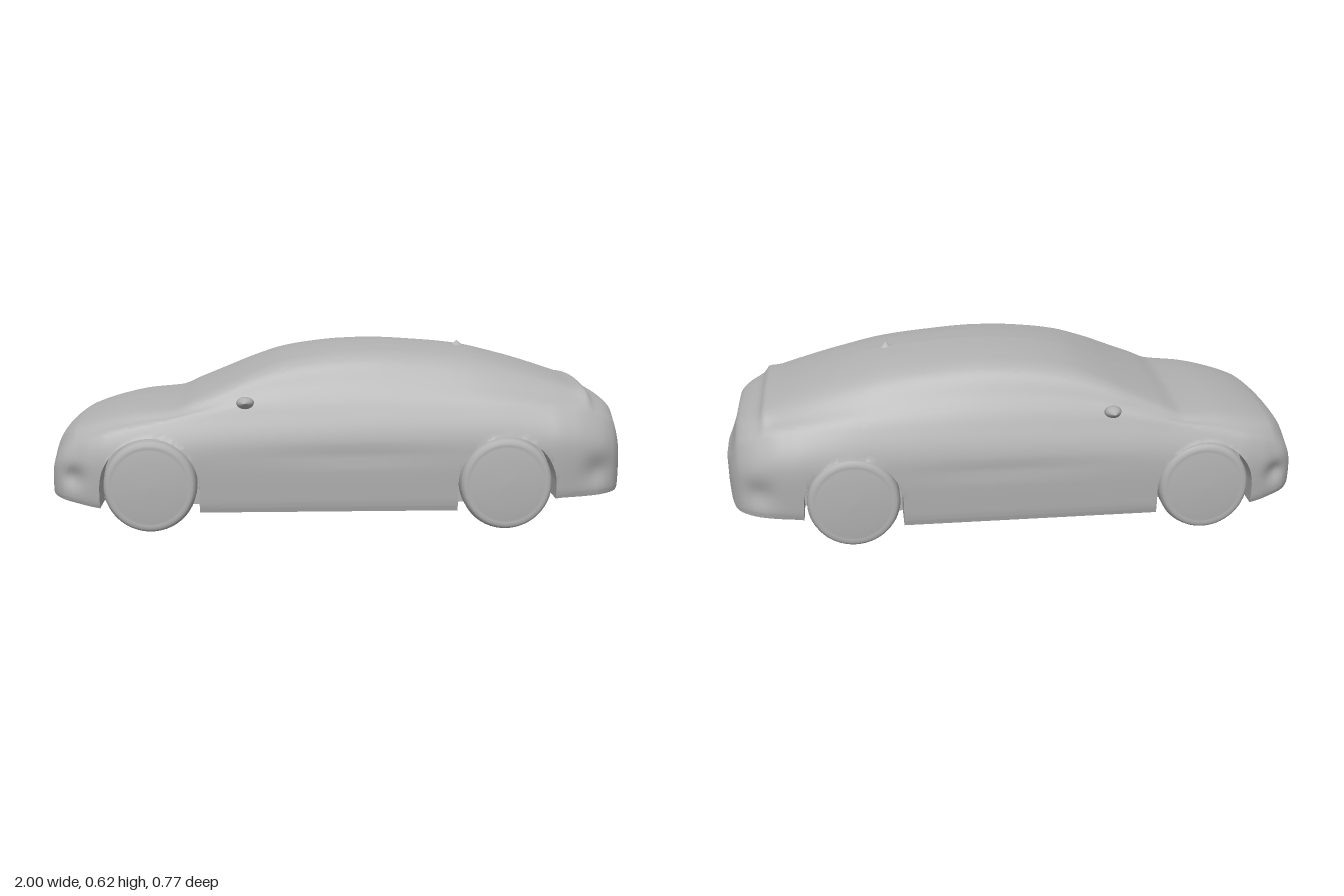
import * as THREE from 'three';
import { toCreasedNormals } from 'three/addons/utils/BufferGeometryUtils.js';

// Smooth curve through [x, value] pairs, without overshoot
function curve(p) {
  const n = p.length;
  const d = p.slice(1).map((q, i) => (q[1] - p[i][1]) / (q[0] - p[i][0]));
  const m = p.map((_, i) => {
    if (i === 0) return d[0];
    if (i === n - 1) return d[n - 2];
    return d[i - 1] * d[i] <= 0 ? 0 : 2 * d[i - 1] * d[i] / (d[i - 1] + d[i]);
  });
  return x => {
    let i = 0;
    while (i < n - 2 && x > p[i + 1][0]) i++;
    const h = p[i + 1][0] - p[i][0], t = THREE.MathUtils.clamp((x - p[i][0]) / h, 0, 1);
    const t2 = t * t, t3 = t2 * t;
    return (2 * t3 - 3 * t2 + 1) * p[i][1] + (t3 - 2 * t2 + t) * h * m[i]
      + (3 * t2 - 2 * t3) * p[i + 1][1] + (t3 - t2) * h * m[i + 1];
  };
}

// Body lines along the length; the nose is at -x
const top = curve([[-1, .22], [-.99, .27], [-.97, .31], [-.94, .34], [-.9, .365], [-.8, .4], [-.7, .42],
  [-.58, .43], [-.5, .462], [-.4, .503], [-.3, .545], [-.2, .58], [-.1, .6], [0, .612], [.12, .617],
  [.3, .608], [.43, .595], [.6, .555], [.75, .508], [.82, .484], [.855, .476], [.872, .452],
  [.93, .42], [.955, .398], [.965, .36], [.98, .31], [1, .265]]);
const halfWidth = curve([[-1, .2], [-.99, .25], [-.97, .295], [-.94, .33], [-.9, .352], [-.85, .372],
  [-.78, .383], [0, .384], [.72, .384], [.8, .375], [.88, .352], [.94, .31], [.97, .26], [.99, .18], [1, .1]]);
const bottom = curve([[-1, .115], [-.9, .1], [-.8, .085], [-.5, .07], [.4, .07], [.7, .1], [.75, .11],
  [.96, .115], [.98, .13], [1, .21]]);
const shoulderY = curve([[-1, .19], [-.97, .24], [-.9, .29], [-.8, .33], [-.6, .37], [-.4, .4], [0, .415],
  [.5, .42], [.8, .4], [.9, .37], [.95, .34], [.98, .28], [1, .25]]);
const shoulderRatio = curve([[-1, .95], [-.8, .94], [-.5, .91], [0, .91], [.5, .9], [.8, .88], [1, .9]]);
const roofEdgeZ = curve([[-1, .12], [-.9, .25], [-.7, .28], [-.55, .29], [-.4, .285], [-.2, .262], [0, .25],
  [.4, .235], [.8, .225], [.86, .235], [.93, .2], [.98, .12], [1, .05]]);
const roofDrop = curve([[-1, .012], [-.8, .02], [-.6, .018], [-.4, .02], [0, .032], [.4, .035], [.8, .02],
  [.9, .015], [1, .006]]);

const AXLES = [-.65, .565], WHEEL_R = .158, ARCH_R = .168;

function wellHeight(x) {
  let y = bottom(x);
  for (const a of AXLES) {
    const dx = Math.abs(x - a);
    if (dx < ARCH_R) y = Math.max(y, WHEEL_R + Math.sqrt(ARCH_R ** 2 - dx * dx));
  }
  return y;
}

const bump = (x, y, cx, cy, sx, sy) => Math.exp(-(((x - cx) / sx) ** 2) - ((y - cy) / sy) ** 2);

// Half cross-section from floor centre to roof centre
function halfSection(x) {
  const b = bottom(x), w = halfWidth(x), t = top(x), s = shoulderY(x), yw = wellHeight(x);
  const zw = Math.min(.25, w * .8), zs = w * shoulderRatio(x), ze = roofEdgeZ(x), ye = t - roofDrop(x);
  const path = new THREE.SplineCurve([
    [w * .965, b], [w * .988, b + (s - b) * .15], [w, b + (s - b) * .66], [zs, s],
    [(zs + ze) / 2 + .008, s + (ye - s) * .5], [ze, ye], [ze * .55, t - (t - ye) * .25], [0, t]
  ].map(([z, y]) => new THREE.Vector2(z, y)));
  const side = path.getPoints(56).map(p => {
    // lamp recesses and door crease
    const dent = .022 * bump(x, p.y, -.91, .19, .04, .035) + .018 * bump(x, p.y, .88, .2, .05, .045)
      + .006 * bump(x, p.y, .05, .265, .3, .02);
    return [Math.max(0, p.x - (p.x > .15 ? dent : 0)), Math.max(p.y, yw)];
  });
  side[side.length - 1][0] = 0;
  return [[0, b], [zw, b], [zw, yw], ...side];
}

function bodyGeometry() {
  const xs = [];
  for (let i = 0; i <= 180; i++) xs.push(-Math.cos(Math.PI * i / 180));
  for (const a of AXLES) {
    xs.push(a - ARCH_R - .0005, a + ARCH_R + .0005);
    for (let i = 0; i <= 24; i++) xs.push(a - (ARCH_R - .0001) * Math.cos(Math.PI * i / 24));
  }
  xs.sort((p, q) => p - q);

  const pos = [], idx = [];
  let n = 0;
  for (const x of xs) {
    const half = halfSection(x);
    const ring = [...half, ...half.slice(1, -1).reverse().map(([z, y]) => [-z, y])];
    n = ring.length;
    for (const [z, y] of ring) pos.push(x, y, z);
  }
  for (let i = 0; i < xs.length - 1; i++) {
    for (let j = 0; j < n; j++) {
      const k = (j + 1) % n, a = i * n, b = a + n;
      idx.push(a + j, b + j, b + k, a + j, b + k, a + k);
    }
  }
  // nose and tail caps
  const c = pos.length / 3, last = (xs.length - 1) * n;
  pos.push(-1, .165, 0, 1, .24, 0);
  for (let j = 0; j < n; j++) {
    const k = (j + 1) % n;
    idx.push(c, j, k, c + 1, last + k, last + j);
  }
  const g = new THREE.BufferGeometry();
  g.setAttribute('position', new THREE.Float32BufferAttribute(pos, 3));
  g.setIndex(idx);
  return toCreasedNormals(g, .7);
}

export function createModel() {
  const car = new THREE.Group();
  car.name = 'car';
  const grey = new THREE.MeshStandardMaterial({ color: 0xb2b2b2 });
  grey.name = 'plain grey';
  const add = (name, geometry, x, y, z) => {
    const mesh = new THREE.Mesh(geometry, grey);
    mesh.name = name;
    mesh.position.set(x, y, z);
    car.add(mesh);
    return mesh;
  };

  add('body', bodyGeometry(), 0, 0, 0);

  // Wheels: closed turned profile, axis y turned to point outward
  const wheelProfile = [[0, -.048], [.1, -.048], [.135, -.05], [.152, -.042], [WHEEL_R, -.025], [WHEEL_R, .022],
    [.153, .038], [.144, .045], [.134, .043], [.126, .044], [.08, .049], [0, .051]]
    .map(([r, y]) => new THREE.Vector2(r, y));
  const wheelGeometry = new THREE.LatheGeometry(wheelProfile, 56);
  // Mirrors: rounded base tapering to an outward point
  const mirrorGeometry = new THREE.LatheGeometry([[0, -.04], [.014, -.035], [.024, -.012], [.02, .006],
    [.011, .022], [0, .042]].map(([r, y]) => new THREE.Vector2(r, y)), 24);
  for (const side of [1, -1]) {
    const label = side > 0 ? 'Left' : 'Right';
    AXLES.forEach((x, i) => {
      const wheel = add((i ? 'rear' : 'front') + label + 'Wheel', wheelGeometry, x, WHEEL_R, side * .328);
      wheel.rotation.x = side * Math.PI / 2;
    });
    const mirror = add('mirror' + label, mirrorGeometry, -.325, .441, side * .345);
    mirror.rotation.set(side * (Math.PI / 2 - .12), 0, 0);
    mirror.scale.set(1.25, 1, .9);
  }

  // Small roof aerial
  const aerial = add('roofAerial', new THREE.ConeGeometry(.022, .018, 20), .43, .602, 0);
  aerial.scale.z = .8;
  return car;
}
